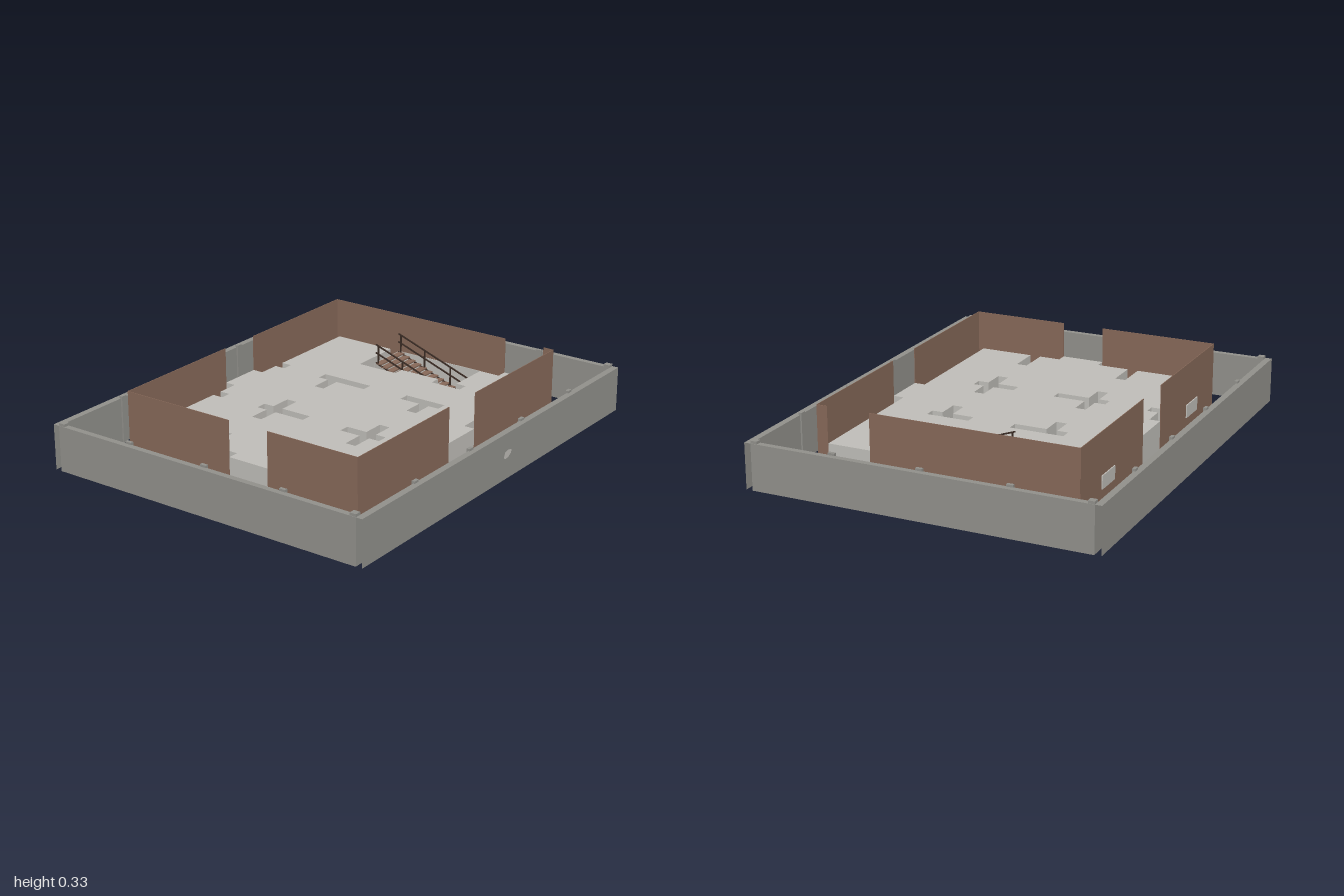
import * as THREE from 'three';

const mat = (name, color, side = THREE.FrontSide) => {
  const m = new THREE.MeshStandardMaterial({ color, side });
  m.name = name;
  return m;
};

export function createModel() {
  const root = new THREE.Group();
  root.name = 'walledHouse';
  const concrete = mat('concrete grey', 0x91908b, THREE.DoubleSide);
  const brick = mat('brick brown', 0x866858, THREE.DoubleSide);
  const plaster = mat('pale plaster', 0xbfbdb8);
  const stain = mat('stain grey', 0x888684);
  const darkWood = mat('dark wood', 0x3a2c25);

  const group = (name) => {
    const g = new THREE.Group();
    g.name = name;
    root.add(g);
    return g;
  };
  const add = (parent, name, geo, material, x = 0, y = 0, z = 0) => {
    const m = new THREE.Mesh(geo, material);
    m.name = name;
    m.position.set(x, y, z);
    parent.add(m);
    return m;
  };
  const box = (parent, name, material, w, h, d, x, y, z) =>
    add(parent, name, new THREE.BoxGeometry(w, h, d), material, x, y, z);
  const toShape = (pts) => new THREE.Shape(pts.map(([x, z]) => new THREE.Vector2(x, z)));

  // Perimeter wall: outer and inner sheets
  const H = 0.208;
  const yard = group('perimeterWall');
  for (const s of [-1, 1]) {
    for (const [dx, dz] of [[1, 0.8], [0.973, 0.77]]) {
      const long = add(yard, 'longWall', new THREE.PlaneGeometry(dx * 2, H), concrete, 0, H / 2, s * dz);
      const side = add(yard, 'sideWall', new THREE.PlaneGeometry(1.54, H), concrete, s * dx, H / 2, 0);
      if (s < 0) long.rotation.y = Math.PI;
      side.rotation.y = s * Math.PI / 2;
    }
  }
  // Flat coping ring on top of the wall
  const ring = toShape([[-1, -0.8], [1, -0.8], [1, 0.8], [-1, 0.8]]);
  ring.holes.push(toShape([[-0.973, -0.77], [-0.973, 0.77], [0.973, 0.77], [0.973, -0.77]]));
  add(yard, 'coping', new THREE.ShapeGeometry(ring).rotateX(-Math.PI / 2), concrete, 0, H, 0);

  // Posts along the wall
  for (const s of [-1, 1]) {
    for (const x of [-0.6, -0.2, 0.2, 0.6]) box(yard, 'post', concrete, 0.028, 0.218, 0.015, x, 0.109, s * 0.77);
    for (const z of [-0.4, 0, 0.4]) box(yard, 'post', concrete, 0.015, 0.218, 0.03, s * 0.97, 0.109, z);
    for (const t of [-1, 1]) box(yard, 'cornerPost', concrete, 0.028, 0.22, 0.03, s * 0.984, 0.11, t * 0.755);
  }
  // Pale chipped patch on the front wall
  add(yard, 'wallPatch', new THREE.ShapeGeometry(toShape([
    [0.015, 0.103], [0.03, 0.095], [0.05, 0.097], [0.072, 0.11],
    [0.078, 0.125], [0.05, 0.132], [0.025, 0.125],
  ])), plaster, 0, 0, 0.802);

  // House shell: brick sheets with a doorway on every side
  const shell = group('houseWalls');
  const TOP = 0.325, T = 0.003;
  for (const s of [-1, 1])
    for (const t of [-1, 1]) box(shell, 'brickWall', brick, 0.65, TOP, T, t * 0.425, TOP / 2, s * 0.6);
  for (const [x, z0, z1] of [[0.75, -0.6, 0.35], [0.75, 0.55, 0.6], [-0.75, -0.6, -0.05], [-0.75, 0.15, 0.6]])
    box(shell, 'brickWall', brick, T, TOP, z1 - z0, x, TOP / 2, (z0 + z1) / 2);
  // Basement windows in the back
  for (const s of [-1, 1]) box(shell, 'basementWindow', plaster, 0.13, 0.06, 0.005, s * 0.475, 0.105, -0.604);

  // Storey block: floor plan with the gaps left by the inner walls
  const F = 0.16;
  const storey = group('basementStorey');
  const plan = toShape([
    [-0.7, -0.55], [-0.25, -0.55], [-0.25, -0.5], [-0.2, -0.5], [-0.2, -0.55], [-0.1, -0.55], [-0.1, -0.6],
    [0.1, -0.6], [0.1, -0.55], [0.2, -0.55], [0.2, -0.5], [0.25, -0.5], [0.25, -0.55], [0.7, -0.55],
    [0.7, -0.25], [0.45, -0.25], [0.45, -0.05], [0.5, -0.05], [0.5, 0.15], [0.45, 0.15], [0.45, 0.3],
    [0.5, 0.3], [0.5, 0.25], [0.7, 0.25], [0.7, 0.35], [0.75, 0.35], [0.75, 0.55], [0.1, 0.55], [0.1, 0.6],
    [-0.1, 0.6], [-0.1, 0.55], [-0.7, 0.55], [-0.7, 0.3], [-0.55, 0.3], [-0.55, 0.25], [-0.7, 0.25],
    [-0.7, 0.15], [-0.75, 0.15], [-0.75, -0.05], [-0.7, -0.05], [-0.7, -0.2], [-0.55, -0.2],
    [-0.55, -0.25], [-0.7, -0.25],
  ]);
  // Cross shaped gaps on the left, T shaped on the right
  for (const [z0, z1, a, b] of [[-0.3, -0.05, -0.25, -0.2], [0.15, 0.35, 0.25, 0.3]]) {
    plan.holes.push(toShape([
      [-0.25, z0], [-0.2, z0], [-0.2, a], [-0.1, a], [-0.1, b], [-0.2, b],
      [-0.2, z1], [-0.25, z1], [-0.25, b], [-0.35, b], [-0.35, a], [-0.25, a],
    ]));
    plan.holes.push(toShape([
      [0.2, z0], [0.25, z0], [0.25, z1], [0.2, z1], [0.2, b], [0.1, b], [0.1, a], [0.2, a],
    ]));
  }
  const block = new THREE.ExtrudeGeometry(plan, { depth: F - 0.005, bevelEnabled: false }).rotateX(Math.PI / 2);
  add(storey, 'floorAndRooms', block, plaster, 0, F, 0);
  box(storey, 'stairwellFloor', plaster, 0.2, 0.005, 0.45, 0.6, 0.0075, 0.025);
  box(storey, 'stairwellSideWall', plaster, 0.003, F, 0.45, 0.7, F / 2, 0.025);
  box(storey, 'stairwellEndWall', plaster, 0.2, F, 0.003, 0.6, F / 2, -0.2);

  // Brown room floors seen on the underside
  const under = (name, pts, material, y) =>
    add(storey, name, new THREE.ShapeGeometry(toShape(pts)).rotateX(Math.PI / 2), material, 0, y, 0);
  under('brownRoomFloor', [
    [0.25, 0.1], [0.45, 0.1], [0.45, 0.3], [0.5, 0.3], [0.5, 0.1], [0.7, 0.1],
    [0.7, 0.55], [0.25, 0.55],
  ], brick, 0.003);
  under('brownRoomFloor', [
    [-0.7, -0.55], [-0.25, -0.55], [-0.25, -0.25], [-0.35, -0.25], [-0.35, -0.2], [-0.25, -0.2],
    [-0.25, 0.1], [-0.7, 0.1], [-0.7, -0.2], [-0.55, -0.2], [-0.55, -0.25], [-0.7, -0.25],
  ], brick, 0.003);
  // Dark stains on the underside
  for (const [x, z, r] of [[0.62, -0.33, 0.06], [0.39, -0.44, 0.06], [0.03, -0.39, 0.07], [0, 0.03, 0.08],
    [0.36, -0.1, 0.07], [-0.13, 0.4, 0.05], [-0.42, 0.2, 0.05], [0.1, 0.49, 0.05], [0.6, 0.02, 0.06]])
    add(storey, 'stain', new THREE.CircleGeometry(r, 8).rotateX(Math.PI / 2), stain, x, 0.002, z);

  // Staircase rising towards the back, with sloping handrails
  const stairs = group('staircase');
  const N = 14, run = 0.45 / N;
  for (let i = 0; i < N; i++)
    box(stairs, 'tread', brick, 0.19, 0.006, run, 0.6, ((i + 1) * F) / N - 0.003, 0.25 - (i + 0.5) * run);
  const slope = Math.atan2(F, 0.45), len = Math.hypot(F, 0.45);
  for (const x of [0.508, 0.692]) {
    for (const lift of [0, 0.05, 0.09])
      box(stairs, lift ? 'handrail' : 'stringer', darkWood, 0.006, 0.006, len, x, F / 2 + lift, 0.025).rotation.x = slope;
    for (const t of [0.03, 0.35, 0.67, 0.97])
      box(stairs, 'railPost', darkWood, 0.006, 0.09, 0.006, x, t * F + 0.045, 0.25 - t * 0.45);
  }
  return root;
}
